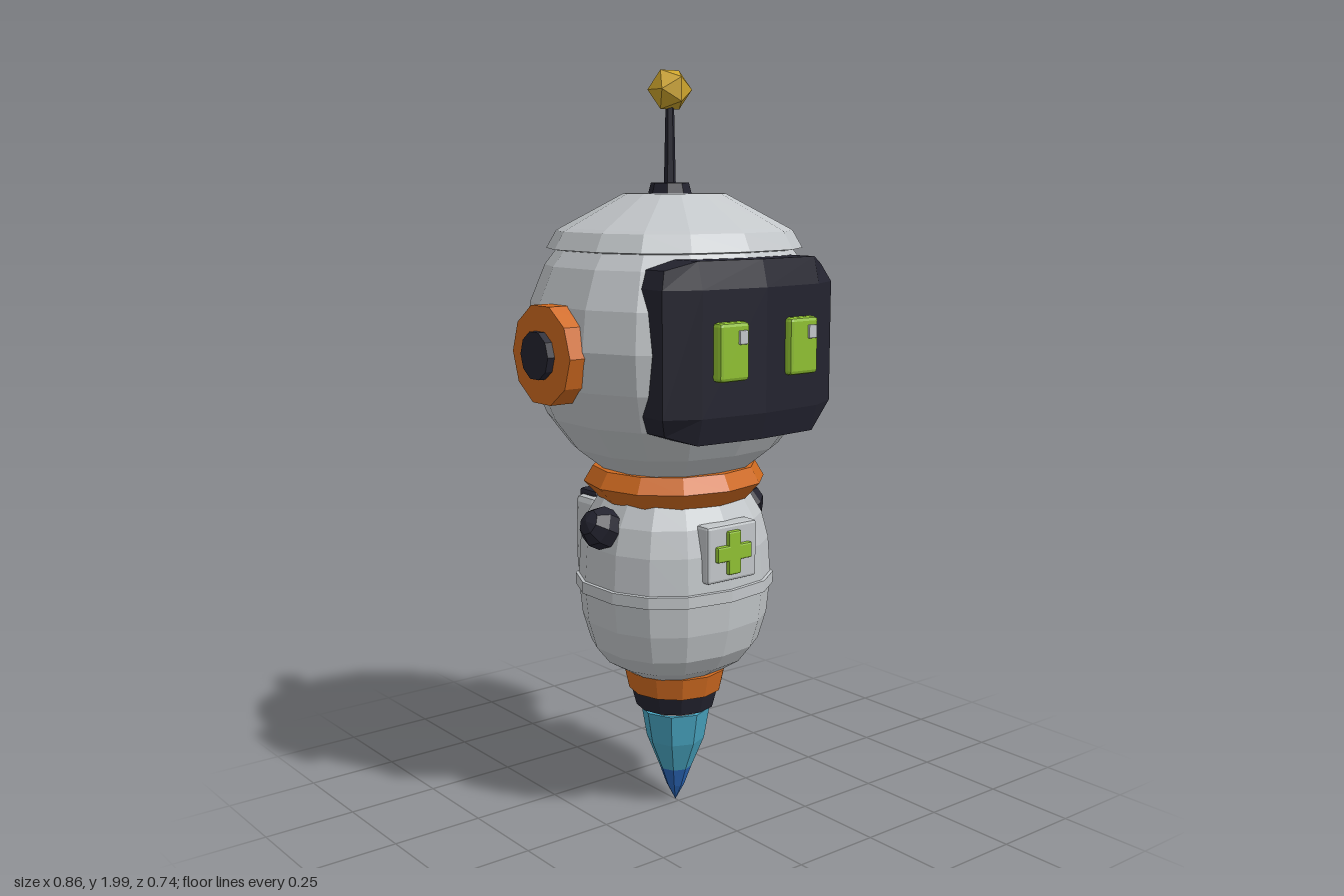
import * as THREE from 'three';
import { RoundedBoxGeometry } from 'three/addons/geometries/RoundedBoxGeometry.js';

const paint = (name, color) => {
  const m = new THREE.MeshStandardMaterial({ color, flatShading: true });
  m.name = name;
  return m;
};

export function createModel() {
  const root = new THREE.Group();
  root.name = 'hoveringRobot';
  const grey = paint('shellGrey', 0xc2c6c9);
  const dark = paint('darkNavy', 0x23232f);
  const orange = paint('orange', 0xcf6a20);
  const green = paint('green', 0x8fc032);
  const gold = paint('gold', 0xcda42c);
  const teal = paint('flameTeal', 0x48a4c0);
  const blue = paint('flameBlue', 0x2a66b8);

  const add = (name, geo, mat, x = 0, y = 0, z = 0) => {
    const m = new THREE.Mesh(geo, mat);
    m.name = name;
    m.position.set(x, y, z);
    root.add(m);
    return m;
  };
  const box = (name, mat, w, h, d, x, y, z, r = 0.008) =>
    add(name, new RoundedBoxGeometry(w, h, d, 1, r), mat, x, y, z);

  // Turned shape whose rings are squared off slightly and flattened in depth
  const turned = (name, mat, profile, { sides = 14, power = 0.8, depth = 0.93, z = -0.018 } = {}) => {
    const g = new THREE.LatheGeometry(profile.map(([r, y]) => new THREE.Vector2(r, y)), sides);
    const p = g.attributes.position;
    for (let i = 0; i < p.count; i++) {
      const x = p.getX(i), zz = p.getZ(i), r = Math.hypot(x, zz);
      if (r < 1e-6) continue;
      const soft = (v) => Math.sign(v) * Math.pow(Math.abs(v) / r, power) * r;
      p.setX(i, soft(x));
      p.setZ(i, soft(zz) * depth);
    }
    g.computeVertexNormals();
    return add(name, g, mat, 0, 0, z);
  };

  // Head shell, rising under the cap
  const headProfile = [];
  for (let i = 1; i <= 9; i++) {
    const a = -Math.PI / 2 + (i * Math.PI) / 12;
    headProfile.push([0.378 * Math.cos(a), 1.3 + 0.395 * Math.sin(a)]);
  }
  headProfile.push([0.23, 1.6]);
  turned('head', grey, headProfile);
  turned('headCap', grey, [[0.29, 1.535], [0.323, 1.54], [0.298, 1.585], [0.285, 1.593], [0.128, 1.68], [0, 1.68]]);

  // Torso with a raised seam band
  turned('torso', grey, [[0, 0.4], [0.14, 0.4], [0.19, 0.43], [0.225, 0.475], [0.247, 0.55], [0.257, 0.65],
    [0.25, 0.76], [0.232, 0.83], [0.2, 0.885], [0.18, 0.93]], { power: 0.85, depth: 0.92 });
  turned('seamBand', grey, [[0.25, 0.63], [0.264, 0.632], [0.264, 0.663], [0.25, 0.666]], { power: 0.85, depth: 0.92 });
  turned('collar', orange, [[0.17, 0.88], [0.205, 0.88], [0.247, 0.925], [0.222, 0.967], [0.15, 0.967]],
    { sides: 12, power: 0.95 });

  // Thruster rings and tapering flame
  const round = { sides: 12, power: 1, depth: 1, z: -0.015 };
  turned('thrusterRing', orange, [[0, 0.34], [0.128, 0.34], [0.141, 0.4], [0, 0.402]], round);
  turned('nozzle', dark, [[0, 0.29], [0.108, 0.29], [0.122, 0.342], [0, 0.342]], round);
  turned('nozzleThroat', grey, [[0.082, 0.27], [0.082, 0.295]], round);
  const flame = { ...round, sides: 8 };
  turned('flame', teal, [[0.045, 0.105], [0.08, 0.19], [0.095, 0.278], [0, 0.278]], flame);
  turned('flameTip', blue, [[0, 0.003], [0.025, 0.05], [0.045, 0.105]], flame);

  // Curved visor: a grid box with clipped corners and stepped-back edges
  const visor = new THREE.BoxGeometry(2, 2, 2, 4, 3, 1);
  const vp = visor.attributes.position;
  for (let i = 0; i < vp.count; i++) {
    const x = vp.getX(i), y = vp.getY(i), front = vp.getZ(i) > 0;
    const sideEdge = Math.abs(x) > 0.9, rowEdge = Math.abs(y) > 0.9;
    let w = sideEdge ? 0.277 : Math.abs(x) > 0.1 ? 0.19 : 0;
    let h = rowEdge ? 0.223 : 0.155;
    if (sideEdge && rowEdge) { w = 0.257; h = 0.2; }
    let z = 0.14;
    if (front) z = (sideEdge ? 0.285 : w > 0 ? 0.33 : 0.347) - (rowEdge ? 0.018 : 0);
    vp.setXYZ(i, Math.sign(x) * w, Math.sign(y) * h, z);
  }
  visor.computeVertexNormals();
  add('visor', visor, dark, 0, 1.302, 0);

  for (const s of [-1, 1]) {
    // Eyes with a small glint
    box('eye', green, 0.094, 0.144, 0.035, s * 0.114, 1.307, 0.345, 0.01);
    box('eyeGlint', grey, 0.027, 0.034, 0.012, s * 0.114 + 0.023, 1.342, 0.363, 0.003);

    // Ear discs
    const ear = add('ear', new THREE.CylinderGeometry(0.129, 0.129, 0.09, 10), orange, s * 0.365, 1.285, -0.037);
    ear.rotation.z = Math.PI / 2;
    const hub = add('earHub', new THREE.CylinderGeometry(0.062, 0.062, 0.05, 10), dark, s * 0.405, 1.285, -0.037);
    hub.rotation.z = Math.PI / 2;

    // Shoulder stubs
    const stub = add('shoulderStub', new THREE.SphereGeometry(0.058, 8, 5), dark, s * 0.245, 0.822, -0.015);
    stub.rotation.z = -s * 1.1;
  }

  // Antenna
  add('antennaBase', new THREE.CylinderGeometry(0.05, 0.058, 0.03, 8), dark, 0, 1.692, -0.037);
  add('antennaRod', new THREE.CylinderGeometry(0.011, 0.016, 0.22, 6), dark, 0, 1.8, -0.037);
  add('antennaBall', new THREE.IcosahedronGeometry(0.058, 0), gold, 0, 1.943, -0.037);

  // Chest plate and cross
  box('chestPlate', grey, 0.166, 0.152, 0.05, 0, 0.766, 0.199);
  box('crossBar', green, 0.116, 0.042, 0.024, 0, 0.767, 0.224, 0.005);
  box('crossPost', green, 0.042, 0.116, 0.024, 0, 0.767, 0.2241, 0.005);

  // Backpack with dark lid and indicator lights
  box('backpack', grey, 0.27, 0.225, 0.1, 0, 0.74, -0.251, 0.02);
  box('backpackLid', dark, 0.235, 0.035, 0.08, 0, 0.85, -0.262, 0.01);
  [gold, green, green].forEach((mat, i) =>
    box('indicatorLight', mat, 0.036, 0.058, 0.024, 0.06 - i * 0.06, 0.728, -0.303, 0.006));

  return root;
}
